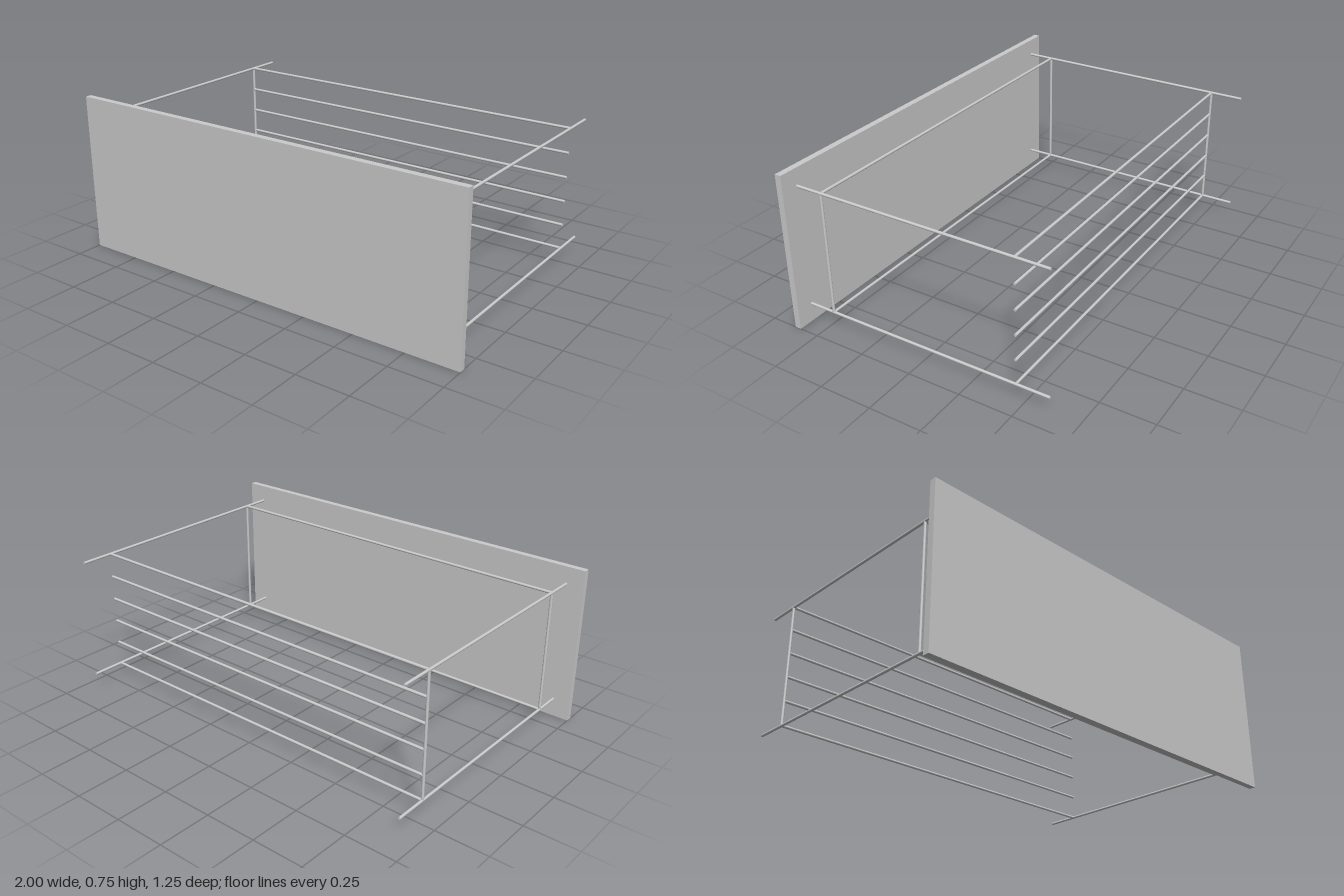
import * as THREE from 'three';

export function createModel() {
  const model = new THREE.Group();
  const material = new THREE.MeshStandardMaterial({ color: 0xcccccc });
  const R = 0.0065, X = 0.916, Z = 0.467;
  const LOW = 0.086, HIGH = 0.668, BACK = -0.623, PANEL = 0.595;

  // Round rod between two points
  function rod(name, from, to) {
    const a = new THREE.Vector3(...from), b = new THREE.Vector3(...to);
    const mesh = new THREE.Mesh(new THREE.CylinderGeometry(R, R, a.distanceTo(b), 12), material);
    mesh.name = name;
    mesh.position.copy(a).add(b).multiplyScalar(0.5);
    mesh.quaternion.setFromUnitVectors(new THREE.Vector3(0, 1, 0), b.sub(a).normalize());
    model.add(mesh);
  }

  // Front board
  const panel = new THREE.Mesh(new THREE.BoxGeometry(2, 0.75, 0.03), material);
  panel.name = 'frontPanel';
  panel.position.set(0, 0.375, PANEL + 0.015);
  model.add(panel);

  // Side rails, front posts and front crossbars
  for (const side of [-1, 1]) {
    const label = side > 0 ? 'left' : 'right';
    for (const y of [LOW, HIGH]) rod(label + 'SideRail', [side * X, y, BACK], [side * X, y, PANEL]);
    rod(label + 'FrontPost', [side * X, LOW, Z], [side * X, HIGH, Z]);
  }
  for (const y of [LOW, HIGH]) rod('frontCrossbar', [-X, y, Z], [X, y, Z]);

  // Rear post on the right side only, and the six evenly spaced rear bars
  rod('rightRearPost', [-X, LOW, -Z], [-X, HIGH, -Z]);
  for (let i = 0; i < 6; i++) {
    const y = LOW + (HIGH - LOW) * i / 5;
    rod('rearCrossbar', [-X, y, -Z], [X, y, -Z]);
  }

  return model;
}
